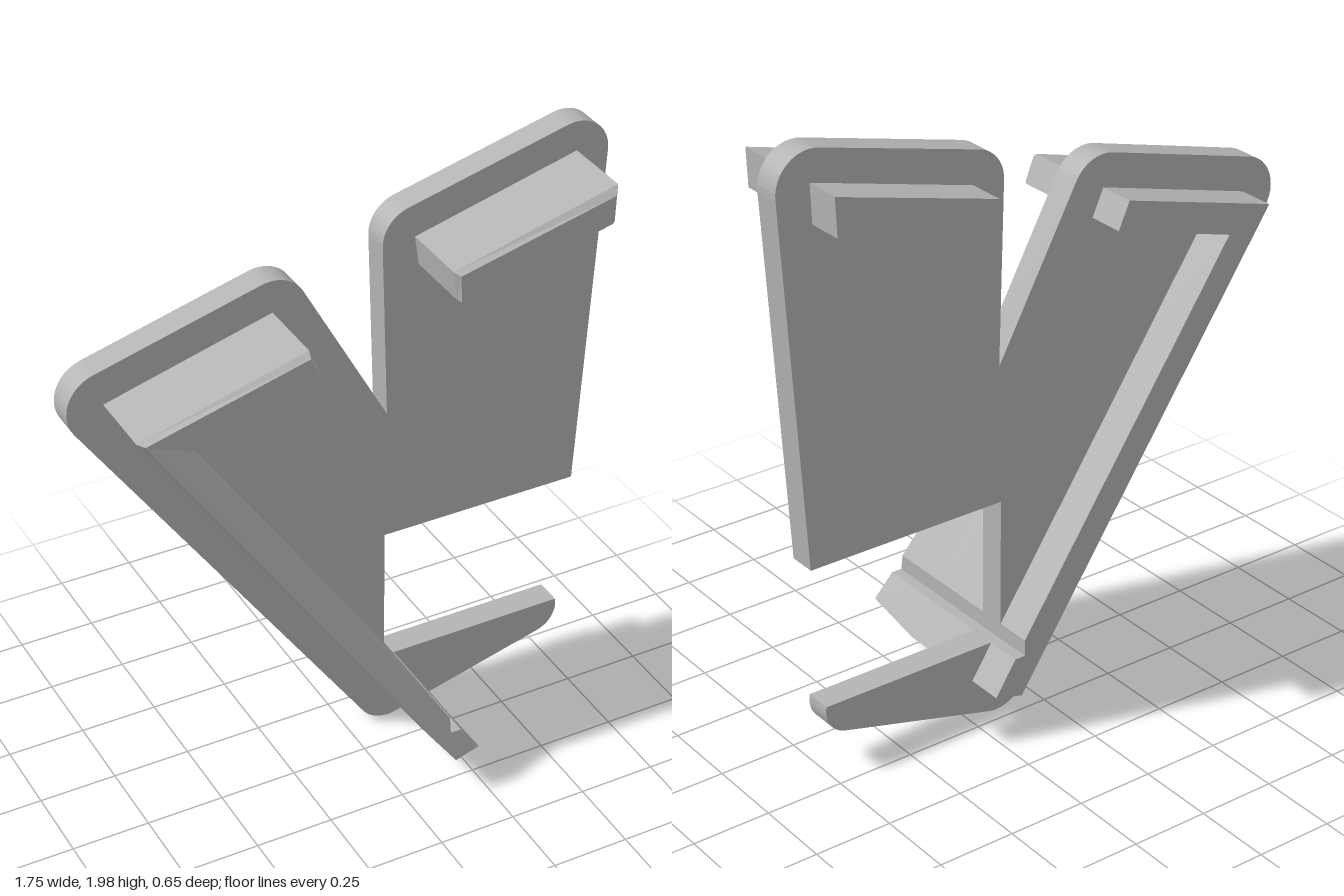
import * as THREE from 'three';

const gray = new THREE.MeshStandardMaterial({ color: 0xb4b4b4 });
gray.name = 'gray';

// Shape from [x, y, radius] corners; corners with a radius are rounded
function roundedShape(corners) {
  const shape = new THREE.Shape();
  const n = corners.length;
  corners.forEach(([x, y, r], i) => {
    const p = new THREE.Vector2(x, y);
    const toward = (c) => new THREE.Vector2(c[0], c[1]).sub(p).normalize();
    const a = toward(corners[(i + n - 1) % n]);
    const b = toward(corners[(i + 1) % n]);
    const put = (q) => (i === 0 && shape.curves.length === 0 && !shape.started
      ? (shape.moveTo(q.x, q.y), (shape.started = true)) : shape.lineTo(q.x, q.y));
    if (!r) { put(p); return; }
    const half = Math.acos(a.dot(b)) / 2;
    const t = r / Math.tan(half);
    const start = p.clone().addScaledVector(a, t);
    const end = p.clone().addScaledVector(b, t);
    const center = p.clone().addScaledVector(a.clone().add(b).normalize(), r / Math.sin(half));
    const a0 = Math.atan2(start.y - center.y, start.x - center.x);
    let sweep = Math.atan2(end.y - center.y, end.x - center.x) - a0;
    if (sweep > Math.PI) sweep -= 2 * Math.PI;
    if (sweep < -Math.PI) sweep += 2 * Math.PI;
    put(start);
    for (let k = 1; k <= 12; k++) {
      const s = a0 + (sweep * k) / 12;
      shape.lineTo(center.x + r * Math.cos(s), center.y + r * Math.sin(s));
    }
  });
  shape.closePath();
  return shape;
}

// Flat-faced rib through the plate: straight body, then a chamfered front.
// Outlines run clockwise seen from the front; front points carry their own z.
function ribGeometry(outline, front, caps, backZ, midZ) {
  const loops = [
    outline.map(([x, y]) => [x, y, backZ]),
    outline.map(([x, y]) => [x, y, midZ]),
    front,
  ];
  const pos = [];
  const tri = (a, b, c) => pos.push(...a, ...b, ...c);
  for (let l = 0; l < 2; l++) {
    const p = loops[l], q = loops[l + 1];
    for (let i = 0; i < p.length; i++) {
      const j = (i + 1) % p.length;
      tri(p[i], q[i], q[j]);
      tri(p[i], q[j], p[j]);
    }
  }
  for (const [a, b, c] of caps) {
    tri(loops[0][a], loops[0][b], loops[0][c]);
    tri(front[a], front[c], front[b]);
  }
  const geo = new THREE.BufferGeometry();
  geo.setAttribute('position', new THREE.Float32BufferAttribute(pos, 3));
  geo.computeVertexNormals();
  return geo;
}

export function createModel() {
  const group = new THREE.Group();
  group.name = 'bracket';
  const add = (name, geo) => {
    const mesh = new THREE.Mesh(geo, gray);
    mesh.name = name;
    group.add(mesh);
  };

  // Flat plate with two upright lobes and a hook at the foot
  const plate = new THREE.ExtrudeGeometry(roundedShape([
    [0.132, 0.25], [0.132, 0.72], [0.8, 0.72],
    [0.883, 2.024, 0.113], [0.119, 1.829, 0.11],
    [0.138, 1.165],
    [-0.179, 1.751, 0.115], [-0.953, 1.541, 0.118],
    [0.101, -0.01, 0.11],
    [0.768, 0.164, 0.088], [0.762, 0.25],
  ]), { depth: 0.088, bevelEnabled: false });
  plate.translate(0, 0, -0.205);
  add('plate', plate);

  // L-shaped rib: short top bar plus a long diagonal bar that deepens downward
  const slope = (y) => 0.13 + (1.42 - y) * 0.157;
  add('diagonalRib', ribGeometry(
    [[-0.768, 1.479], [-0.234, 1.627], [-0.196, 1.542], [-0.616, 1.42],
      [0.132, 0.303], [0.132, 0.25], [0.167, 0.25], [0.238, 0.141], [0.143, 0.115]],
    [[-0.75, 1.475, 0.13], [-0.238, 1.61, 0.13], [-0.21, 1.538, 0.13], [-0.616, 1.42, 0.13],
      [0.132, 0.303, slope(0.303)], [0.132, 0.25, slope(0.25)], [0.167, 0.25, slope(0.25)],
      [0.225, 0.17, slope(0.17)], [0.143, 0.148, slope(0.148)]],
    [[0, 1, 2], [0, 2, 3], [0, 3, 4], [0, 4, 5], [0, 5, 8], [8, 5, 6], [8, 6, 7]],
    -0.325, 0.11));

  // Short rib on the taller lobe
  add('shortRib', ribGeometry(
    [[0.227, 1.75], [0.765, 1.893], [0.76, 1.772], [0.227, 1.655]].map(([x, y], i) =>
      (i === 3 ? [0.24, 1.655] : [x, y])),
    [[0.24, 1.742, 0.13], [0.748, 1.868, 0.13], [0.742, 1.778, 0.13], [0.245, 1.656, 0.13]],
    [[0, 1, 2], [0, 2, 3]],
    -0.325, 0.11));

  return group;
}
